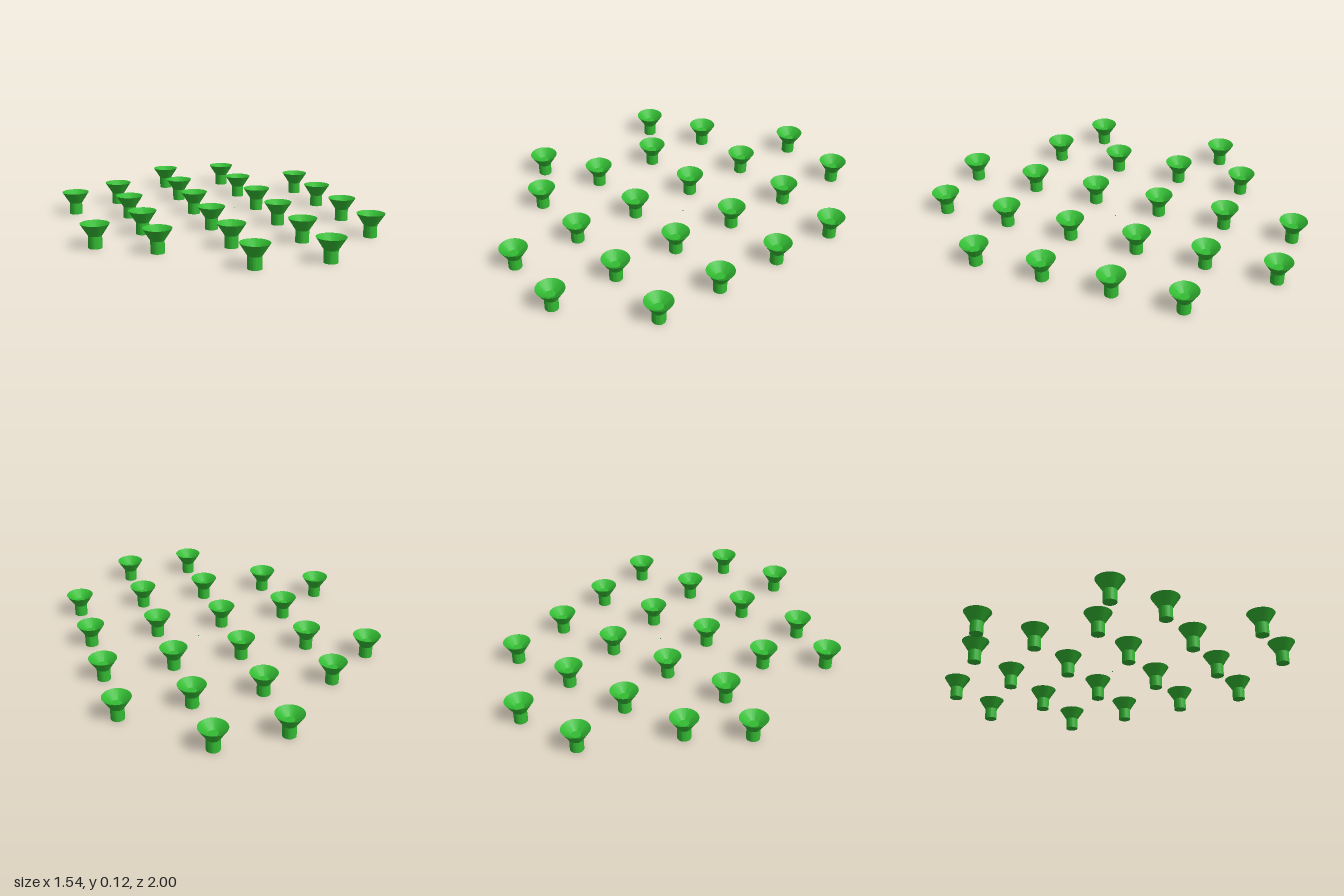
import * as THREE from 'three';
import { toCreasedNormals } from 'three/addons/utils/BufferGeometryUtils.js';

export function createModel() {
  const model = new THREE.Group();
  model.name = 'studSet';
  const material = new THREE.MeshStandardMaterial({ color: 0x33bb33 });

  // Stud profile: straight stem, flared head, dished top with a small flat floor
  const profile = [
    [0, 0], [0.035, 0], [0.035, 0.063], [0.074, 0.124],
    [0.073, 0.124], [0.025, 0.088], [0, 0.088],
  ].map(([r, y]) => new THREE.Vector2(r, y));
  const studGeometry = toCreasedNormals(new THREE.LatheGeometry(profile, 40), 0.45);

  function addStud(x, z) {
    const stud = new THREE.Mesh(studGeometry, material);
    stud.name = 'stud';
    stud.position.set(x, 0, z);
    model.add(stud);
  }

  // Regular grid: each column lists the rows it fills on both sides of the middle
  const rows = [0.185, 0.555, 0.926];
  const columns = [[-0.423, 2], [-0.051, 3], [0.322, 3], [0.695, 2]];
  for (const [x, count] of columns) {
    for (const z of rows.slice(0, count)) {
      addStud(x, z);
      addStud(x, -z);
    }
  }

  // Two studs set apart at the right end
  addStud(-0.7, 0.385);
  addStud(-0.7, -0.36);

  // Tiny speck at the middle of the grid
  const speck = new THREE.Mesh(new THREE.SphereGeometry(0.003, 8, 6), material);
  speck.name = 'centreSpeck';
  speck.position.set(0.135, 0.062, 0);
  model.add(speck);

  return model;
}
